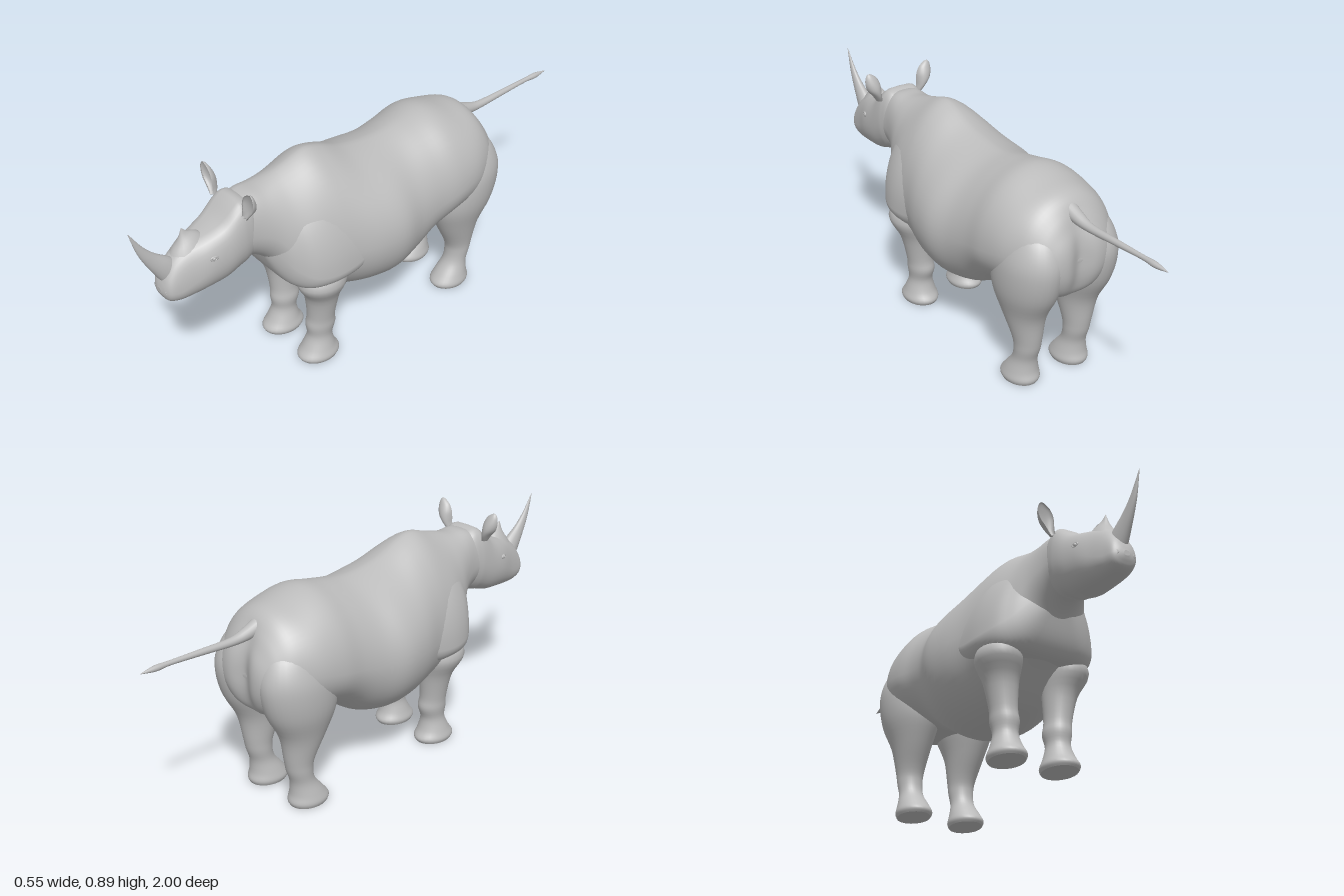
import * as THREE from 'three';

const skin = new THREE.MeshStandardMaterial({ color: 0xbcbcbc });
skin.name = 'grey skin';

function add(parent, geo, name) {
  const m = new THREE.Mesh(geo, skin);
  m.name = name;
  parent.add(m);
  return m;
}

// Smooth interpolation through rows of numbers (Catmull-Rom per column)
function sample(rows, t) {
  const n = rows.length - 1, f = Math.min(t * n, n - 1e-6), i = Math.floor(f), u = f - i;
  const r = k => rows[Math.max(0, Math.min(n, k))];
  return rows[0].map((_, c) => {
    const [a, b, d, e] = [r(i - 1)[c], r(i)[c], r(i + 1)[c], r(i + 2)[c]];
    return b + 0.5 * u * (d - a + u * (2 * a - 5 * b + 4 * d - e + u * (3 * (b - d) + e - a)));
  });
}

// Closed skin over rings; section(row, angle) returns a point
function loft(rows, section, steps = 4, sides = 36) {
  const pos = [], idx = [], count = (rows.length - 1) * steps;
  for (let i = 0; i <= count; i++) {
    const row = sample(rows, i / count);
    for (let j = 0; j < sides; j++) pos.push(...section(row, (j / sides) * Math.PI * 2));
  }
  for (let i = 0; i < count; i++) for (let j = 0; j < sides; j++) {
    const a = i * sides + j, b = i * sides + (j + 1) % sides;
    idx.push(a, b, a + sides, b, b + sides, a + sides);
  }
  // End caps with their own vertices, so the rims stay crisp
  for (const ring of [0, count]) {
    const start = pos.length / 3, c = [0, 0, 0];
    for (let j = 0; j < sides; j++) for (let k = 0; k < 3; k++) {
      const v = pos[(ring * sides + j) * 3 + k];
      pos.push(v);
      c[k] += v / sides;
    }
    pos.push(...c);
    for (let j = 0; j < sides; j++) {
      const a = start + j, b = start + (j + 1) % sides;
      if (ring) idx.push(a, b, start + sides); else idx.push(b, a, start + sides);
    }
  }
  // Turn the faces outward
  let vol = 0;
  const p = k => new THREE.Vector3().fromArray(pos, k * 3);
  for (let i = 0; i < idx.length; i += 3) vol += p(idx[i]).dot(p(idx[i + 1]).cross(p(idx[i + 2])));
  if (vol < 0) idx.reverse();
  const g = new THREE.BufferGeometry();
  g.setAttribute('position', new THREE.Float32BufferAttribute(pos, 3));
  g.setIndex(idx);
  g.computeVertexNormals();
  return g;
}

const { smoothstep } = THREE.MathUtils;
// Rounded section across z: [z, top, bottom, widest height, half width]
const across = (pu, pl) => ([z, top, bot, mid, w], a) => {
  const c = Math.cos(a), s = Math.sin(a), p = s > 0 ? pu : pl;
  return [w * Math.sign(c) * Math.abs(c) ** p, mid + (s > 0 ? top - mid : mid - bot) * s, z];
};
// Body section: ridged back, square neck, and a cleft down the middle of the rump
const barrel = (row, a) => {
  const ridge = 1 + 0.28 * smoothstep(row[0], -0.3, 0) - 0.65 * smoothstep(row[0], 0.35, 0.56);
  const [x, y, z] = across(ridge, 0.95)(row, a);
  return [x, y, z + Math.max(0, -0.51 - z) * 0.35 * Math.exp(-((x / 0.045) ** 2))];
};
// Head section: broad flat forehead, tapering to a round muzzle
const skull = (row, a) => across(0.45 + 0.35 * smoothstep(row[0], 0.62, 0.82), 0.72)(row, a);
// Oval section across y: [y, x, z, x radius, z radius]
const oval = ([y, x, z, rx, rz], a) => [x + rx * Math.cos(a), y, z + rz * Math.sin(a)];
// Cupped ear section: [y, x, half width, depth]
const cupped = ([y, x, w, d], a) => {
  const s = Math.sin(a);
  return [x + w * Math.cos(a), y, 0.603 + (s < 0 ? d * s : -d * 0.55 * s)];
};

// Tapering tube: rows of [y, z, radius], narrowed in x by flat
function taper(rows, flat = 1) {
  const path = new THREE.CatmullRomCurve3(rows.map(r => new THREE.Vector3(0, r[0], r[1])));
  return loft(rows, ([y, z, r], a) => {
    const near = rows.reduce((b, q, i) => Math.hypot(q[0] - y, q[1] - z) <
      Math.hypot(rows[b][0] - y, rows[b][1] - z) ? i : b, 0);
    const t = path.getTangent(near / (rows.length - 1));
    const s = Math.sin(a) * r;
    return [Math.cos(a) * r * flat, y + t.z * s, z - t.y * s];
  }, 1, 20);
}
const dense = (rows, n) => Array.from({ length: n + 1 }, (_, i) => sample(rows, i / n));

export function createModel() {
  const model = new THREE.Group();
  model.name = 'rhinoceros';

  // Barrel, rump, back hump and neck
  add(model, loft([
    [-0.592, 0.55, 0.53, 0.54, 0.012], [-0.59, 0.59, 0.49, 0.54, 0.06], [-0.58, 0.63, 0.45, 0.54, 0.108],
    [-0.56, 0.67, 0.41, 0.545, 0.143], [-0.53, 0.72, 0.385, 0.55, 0.173], [-0.48, 0.77, 0.375, 0.56, 0.205],
    [-0.4, 0.792, 0.37, 0.56, 0.235], [-0.3, 0.815, 0.36, 0.54, 0.245], [-0.2, 0.80, 0.315, 0.52, 0.24],
    [-0.1, 0.786, 0.25, 0.5, 0.25], [0, 0.79, 0.228, 0.5, 0.274], [0.1, 0.81, 0.235, 0.5, 0.264],
    [0.2, 0.853, 0.26, 0.5, 0.235], [0.27, 0.867, 0.30, 0.49, 0.22], [0.35, 0.845, 0.36, 0.5, 0.2],
    [0.42, 0.825, 0.41, 0.55, 0.158], [0.48, 0.812, 0.50, 0.63, 0.12], [0.54, 0.81, 0.545, 0.66, 0.1],
    [0.6, 0.79, 0.56, 0.67, 0.094]], barrel, 5, 56), 'body');

  // Shoulder mass, ending in a fold above the front legs
  add(model, loft([
    [0.09, 0.64, 0.50, 0.55, 0.21], [0.15, 0.73, 0.42, 0.49, 0.232], [0.2, 0.78, 0.388, 0.46, 0.237],
    [0.3, 0.81, 0.384, 0.45, 0.236], [0.38, 0.79, 0.382, 0.46, 0.214], [0.43, 0.76, 0.40, 0.49, 0.17],
    [0.465, 0.73, 0.45, 0.54, 0.122], [0.495, 0.66, 0.53, 0.59, 0.06]], across(1.2, 0.34), 4, 56), 'shoulders');

  // Head
  add(model, loft([
    [0.51, 0.76, 0.60, 0.68, 0.06], [0.55, 0.80, 0.56, 0.68, 0.09],
    [0.585, 0.812, 0.54, 0.67, 0.098], [0.615, 0.796, 0.532, 0.66, 0.1],
    [0.67, 0.75, 0.515, 0.63, 0.098], [0.74, 0.724, 0.508, 0.61, 0.09], [0.80, 0.707, 0.503, 0.58, 0.074],
    [0.85, 0.674, 0.504, 0.56, 0.062], [0.885, 0.63, 0.515, 0.56, 0.052], [0.9, 0.597, 0.535, 0.562, 0.035],
    [0.907, 0.572, 0.552, 0.562, 0.012]], skull, 5), 'head');

  // Horns
  add(model, taper(dense([[0.60, 0.84, 0.05], [0.65, 0.88, 0.041], [0.70, 0.923, 0.027],
    [0.76, 0.962, 0.015], [0.843, 0.998, 0.001]], 16), 0.65), 'frontHorn');
  add(model, taper(dense([[0.68, 0.772, 0.085], [0.715, 0.78, 0.052], [0.745, 0.79, 0.018],
    [0.772, 0.797, 0.001]], 12), 0.65), 'rearHorn');

  // Tail with a tuft at the end
  add(model, taper(dense([[0.72, -0.49, 0.03], [0.70, -0.55, 0.024], [0.69, -0.62, 0.016], [0.695, -0.75, 0.012],
    [0.70, -0.88, 0.009], [0.70, -0.94, 0.011], [0.70, -0.999, 0.001]], 30)), 'tail');

  const front = [[0.46, 0.13, 0.3, 0.06, 0.07], [0.385, 0.142, 0.308, 0.084, 0.1],
    [0.3, 0.125, 0.296, 0.064, 0.07], [0.2, 0.115, 0.295, 0.051, 0.056], [0.15, 0.11, 0.295, 0.052, 0.06],
    [0.1, 0.11, 0.3, 0.046, 0.05], [0.05, 0.11, 0.306, 0.059, 0.066], [0.018, 0.11, 0.308, 0.069, 0.087],
    [0, 0.11, 0.308, 0.063, 0.08]];
  const hind = [[0.68, 0.1, -0.44, 0.05, 0.06], [0.63, 0.108, -0.44, 0.088, 0.11],
    [0.56, 0.117, -0.435, 0.109, 0.145], [0.49, 0.121, -0.423, 0.113, 0.158], [0.4, 0.122, -0.411, 0.103, 0.145],
    [0.3, 0.12, -0.405, 0.075, 0.097], [0.2, 0.116, -0.42, 0.054, 0.062], [0.15, 0.115, -0.42, 0.049, 0.052],
    [0.1, 0.115, -0.407, 0.047, 0.049], [0.05, 0.115, -0.388, 0.06, 0.068], [0.018, 0.115, -0.38, 0.068, 0.084],
    [0, 0.115, -0.38, 0.062, 0.077]];
  const ear = [[0.765, 0.092, 0.012, 0.018], [0.79, 0.103, 0.018, 0.03], [0.815, 0.114, 0.028, 0.034],
    [0.84, 0.12, 0.031, 0.03], [0.865, 0.126, 0.025, 0.02], [0.88, 0.132, 0.013, 0.011], [0.886, 0.135, 0.003, 0.004]];

  for (const side of [1, -1]) {
    const name = side > 0 ? 'left' : 'right';
    const flip = rows => rows.map(r => r.map((v, i) => (i === 1 ? v * side : v)));
    add(model, loft(flip(front), oval, 4, 28), name + 'FrontLeg');
    add(model, loft(flip(hind), oval, 4, 32), name + 'HindLeg');
    add(model, loft(flip(ear), cupped, 4, 24), name + 'Ear');

    // Eye with lids
    const eye = add(model, new THREE.SphereGeometry(0.008, 12, 8), name + 'Eye');
    eye.position.set(side * 0.085, 0.658, 0.73);
    const lid = add(model, new THREE.TorusGeometry(0.012, 0.004, 8, 18), name + 'Eyelids');
    lid.position.set(side * 0.086, 0.658, 0.73);
    lid.rotation.y = side * 1.35;
    lid.scale.y = 0.6;

    // Nostril rim
    const nostril = add(model, new THREE.TorusGeometry(0.01, 0.004, 8, 18), name + 'Nostril');
    nostril.position.set(side * 0.038, 0.562, 0.893);
    nostril.rotation.y = side * 0.7;
    nostril.scale.y = 0.75;
  }
  return model;
}
